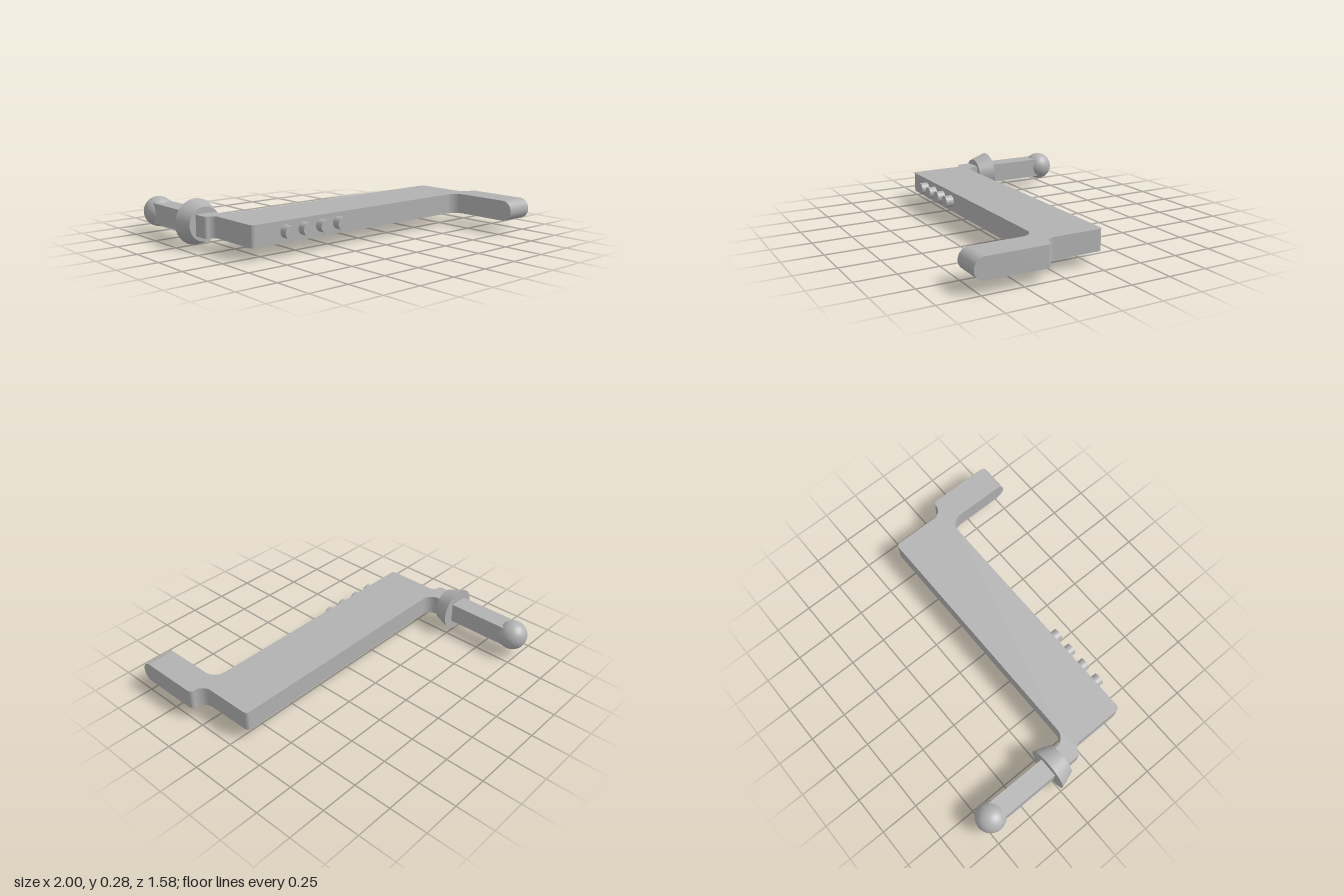
import * as THREE from 'three';
import { toCreasedNormals } from 'three/addons/utils/BufferGeometryUtils.js';

const CY = 0.143;   // height of the centre line
const T = 0.13;     // thickness of the flat body
const PEG_X = -0.859;

export function createModel() {
  const model = new THREE.Group();
  const grey = new THREE.MeshStandardMaterial({ color: 0xb2b2b2 });
  grey.name = 'grey';

  const add = (name, geometry, x, y, z) => {
    const mesh = new THREE.Mesh(geometry, grey);
    mesh.name = name;
    mesh.position.set(x, y, z);
    model.add(mesh);
    return mesh;
  };

  // Flat crank body with offset peg and foot, outlined in x and z
  const s = new THREE.Shape();
  const H = Math.PI / 2;
  const round = (x, z, r, from) => s.absarc(x, z, r, from, from + H, false);
  const fillet = (x, z, r, from) => s.absarc(x, z, r, from, from - H, true);
  s.moveTo(-0.922, -0.66);
  s.lineTo(-0.797, -0.66);
  fillet(-0.722, -0.13, 0.075, Math.PI);
  round(0.88, -0.08 + 0.05, 0.025, -H);
  fillet(0.975, 0.26, 0.07, Math.PI);
  round(0.975, 0.355, 0.025, -H);
  s.lineTo(1, 0.725);
  s.lineTo(0.815, 0.725);
  fillet(0.735, 0.41, 0.08, 0);
  round(-0.835, 0.305, 0.025, H);
  fillet(-0.905, 0, 0.045, 0);
  round(-0.902, -0.065, 0.02, H);
  s.closePath();
  const body = new THREE.ExtrudeGeometry(s, { depth: T, bevelEnabled: false, curveSegments: 12 });
  body.rotateX(H);
  add('body', toCreasedNormals(body, 0.5), 0, CY + T / 2, 0);

  // Rounded end of the foot
  const tip = new THREE.CylinderGeometry(T / 2, T / 2, 0.185, 48);
  tip.rotateZ(H);
  add('footTip', tip, 0.9075, CY, 0.725);

  // Flared collar around the peg, widest at the back
  const collar = new THREE.CylinderGeometry(0.105, 0.141, 0.105, 64);
  collar.rotateX(H);
  add('collar', collar, PEG_X, CY, -0.1975);

  // Ball at the end of the peg
  add('ball', new THREE.SphereGeometry(0.096, 48, 32), PEG_X, CY, -0.698);

  // Row of four round studs on the front edge
  for (let i = 0; i < 4; i++) {
    const stud = new THREE.CylinderGeometry(0.038, 0.038, 0.06, 32);
    stud.rotateX(H);
    add('stud' + (i + 1), stud, -0.626 + i * 0.13, CY + 0.002, 0.35);
  }

  return model;
}
